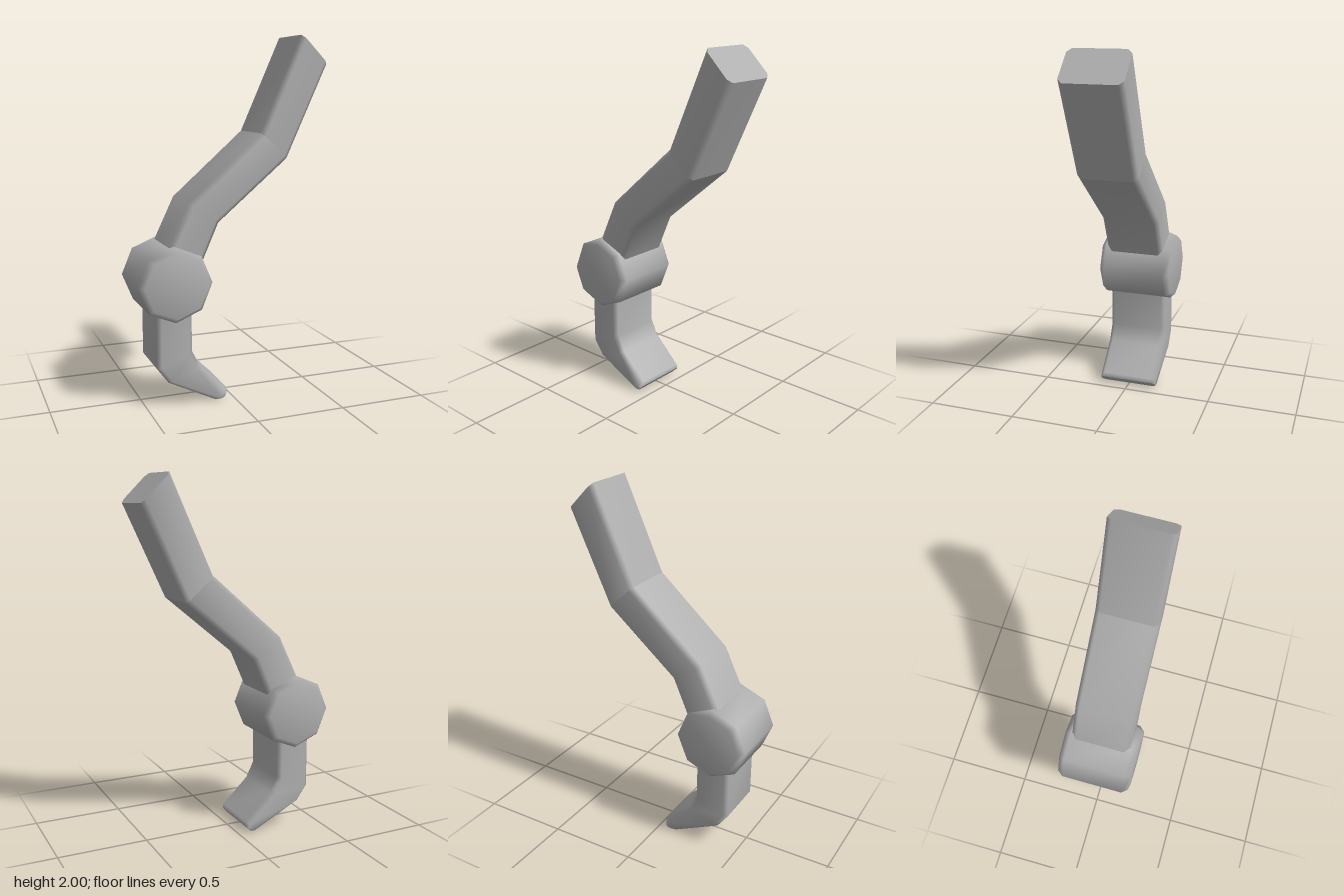
import * as THREE from 'three';
import { mergeVertices } from 'three/addons/utils/BufferGeometryUtils.js';

const HALF_DEPTH = 0.168;

// Chamfered rectangular section spanning from a left edge to a right edge
function ring([lx, ly, rx, ry], bevel) {
  const w = Math.hypot(rx - lx, ry - ly);
  const c = Math.min(bevel, w * 0.35);
  const t = c / w, h = HALF_DEPTH, i = h - c;
  const at = (s, z) => [lx + (rx - lx) * s, ly + (ry - ly) * s, z];
  return [at(t, h), at(1 - t, h), at(1, i), at(1, -i), at(1 - t, -h), at(t, -h), at(0, -i), at(0, i)];
}

// Skin a run of sections, listed from bottom to top; each cap keeps a sharp edge
function loft(sections, bevel, capStart, capEnd) {
  const rings = sections.map((s) => ring(s, bevel));
  const pos = rings.flat(2), index = [], n = 8;
  for (let r = 0; r < rings.length - 1; r++) {
    for (let k = 0; k < n; k++) {
      const a = r * n + k, b = r * n + (k + 1) % n;
      index.push(a, b, b + n, a, b + n, a + n);
    }
  }
  const cap = (points) => {
    const base = pos.length / 3;
    pos.push(...points.flat());
    for (let k = 1; k < n - 1; k++) index.push(base, base + k, base + k + 1);
  };
  if (capStart) cap([...rings[0]].reverse());
  if (capEnd) cap(rings[rings.length - 1]);
  const g = new THREE.BufferGeometry();
  g.setAttribute('position', new THREE.Float32BufferAttribute(pos, 3));
  g.setIndex(index);
  g.computeVertexNormals();
  return g;
}

export function createModel() {
  const model = new THREE.Group();
  model.name = 'jointedHook';
  const grey = new THREE.MeshStandardMaterial({ color: 0xb0b0b0 });
  grey.name = 'plain grey';
  const add = (name, geometry) => {
    const mesh = new THREE.Mesh(geometry, grey);
    mesh.name = name;
    model.add(mesh);
    return mesh;
  };

  // Arm: two runs meeting at a crisp bend
  const elbow = [0.155, 1.475, 0.31, 1.335];
  add('lowerArm', loft([
    [-0.41, 0.79, -0.235, 0.67],
    [-0.255, 1.115, -0.09, 1.0],
    elbow,
  ], 0.026, true, false));
  add('upperArm', loft([elbow, [0.39, 2.0, 0.545, 1.845]], 0.026, false, true));

  // Hub: eight-sided drum with bevelled rims and softened sides
  const profile = [[0, -0.21], [0.178, -0.21], [0.207, -0.178], [0.207, 0.178], [0.178, 0.21], [0, 0.21]];
  let drum = new THREE.LatheGeometry(profile.map(([x, y]) => new THREE.Vector2(x, y)), 8);
  drum.deleteAttribute('uv');
  drum.deleteAttribute('normal');
  drum = mergeVertices(drum, 1e-4);
  drum.computeVertexNormals();
  drum.rotateX(Math.PI / 2);
  add('hub', drum).position.set(-0.343, 0.682, 0);

  // Hook: from the rounded tip up into the hub
  add('hook', loft([
    [-0.075, 0.005, -0.045, 0.038],
    [-0.105, 0.0, -0.045, 0.065],
    [-0.38, 0.135, -0.2, 0.21],
    [-0.443, 0.22, -0.245, 0.3],
    [-0.443, 0.62, -0.245, 0.62],
  ], 0.022, true, true));

  return model;
}
